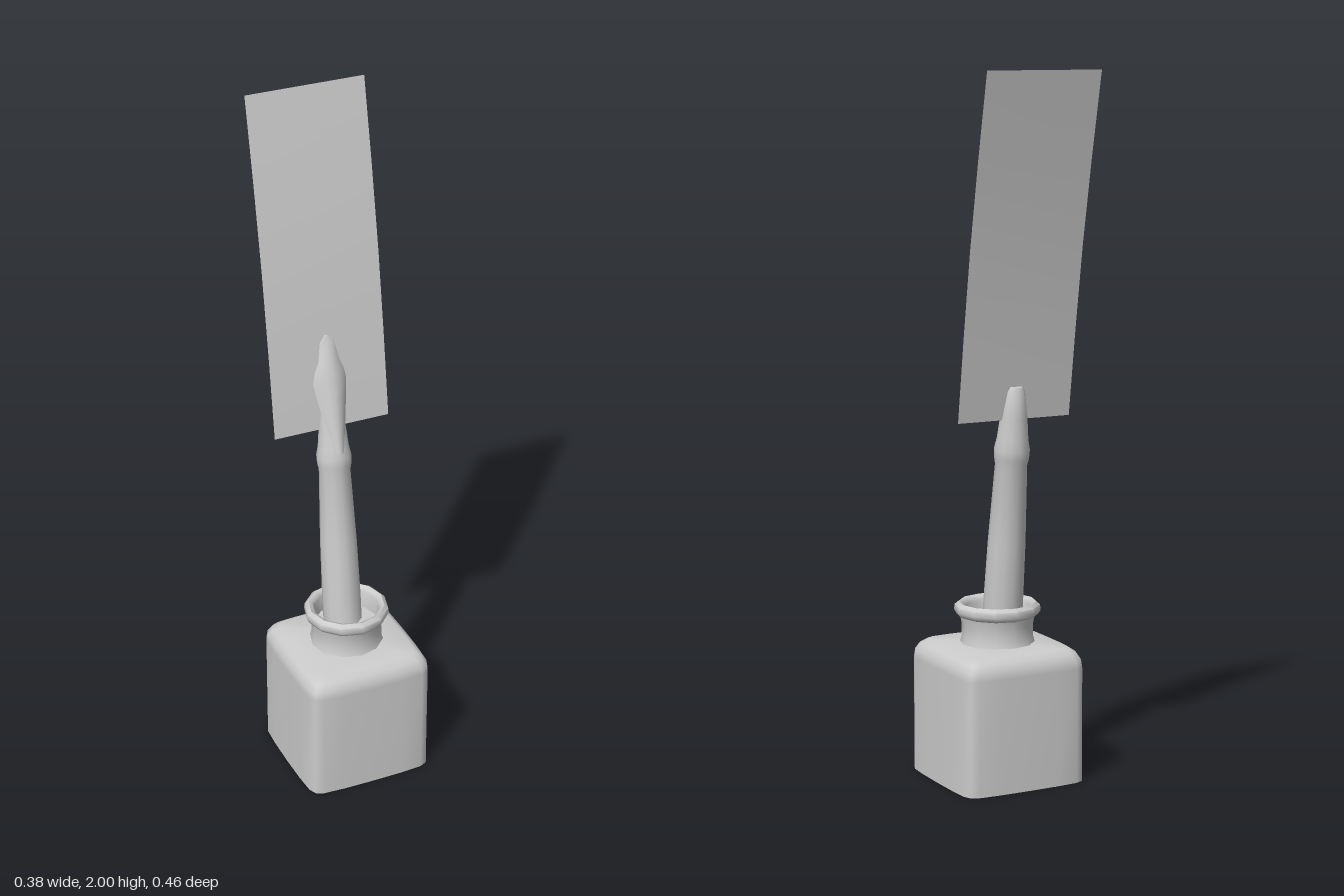
import * as THREE from 'three';
import { toCreasedNormals } from 'three/addons/utils/BufferGeometryUtils.js';

// Skin between equal-length rows of points; closed rows wrap around
function loft(rows, closed) {
  const n = rows[0].length, index = [];
  for (let i = 0; i < rows.length - 1; i++) {
    for (let j = 0; j < (closed ? n : n - 1); j++) {
      const k = (j + 1) % n;
      const a = i * n + j, b = i * n + k, c = a + n, d = b + n;
      index.push(a, b, d, a, d, c);
    }
  }
  const g = new THREE.BufferGeometry();
  g.setAttribute('position', new THREE.Float32BufferAttribute(rows.flat(2), 3));
  g.setIndex(index);
  g.computeVertexNormals();
  return g;
}

const lathe = (pts, sides) =>
  toCreasedNormals(new THREE.LatheGeometry(pts.map(p => new THREE.Vector2(...p)), sides), 0.8);

export function createModel() {
  const model = new THREE.Group();
  const grey = new THREE.MeshStandardMaterial({ color: 0xcccccc, side: THREE.DoubleSide });
  grey.name = 'plain grey';
  const add = (name, geometry, parent = model) => {
    const mesh = new THREE.Mesh(geometry, grey);
    mesh.name = name;
    parent.add(mesh);
    return mesh;
  };

  // Ink bottle
  const bottle = new THREE.Group();
  bottle.name = 'inkBottle';
  bottle.position.z = 0.039;
  model.add(bottle);

  // Square outline with slightly bulging sides and rounded corners, counted from +z towards +x
  const side = [[0, 0.192], [0.09, 0.191], [0.155, 0.187], [0.177, 0.177], [0.187, 0.155], [0.191, 0.09]];
  const outline = [];
  for (let q = 0; q < 4; q++) {
    const c = Math.round(Math.cos(q * Math.PI / 2)), s = Math.round(Math.sin(q * Math.PI / 2));
    side.forEach(([x, z]) => outline.push([x * c + z * s, z * c - x * s]));
  }
  const ring = (y, scale) => outline.map(([x, z]) => [x * scale, y, z * scale]);
  const neckRing = outline.map(([x, z]) => {
    const l = Math.hypot(x, z);
    return [x / l * 0.1, 0.391, z / l * 0.1];
  });
  add('bottleBody', loft([ring(0, 1), ring(0.33, 1), ring(0.352, 0.985), ring(0.372, 0.925),
    ring(0.385, 0.83), neckRing], true), bottle);
  const base = new THREE.ShapeGeometry(new THREE.Shape(outline.map(([x, z]) => new THREE.Vector2(x, z))));
  base.rotateX(Math.PI / 2);
  add('bottleBase', base, bottle);

  // Neck, rolled lip and inner floor
  add('bottleNeck', lathe([[0.108, 0.385], [0.102, 0.405], [0.101, 0.44], [0.106, 0.466], [0.117, 0.471],
    [0.123, 0.482], [0.121, 0.497], [0.11, 0.506], [0.1, 0.502], [0.094, 0.49], [0.092, 0.44],
    [0, 0.44]], 12), bottle);

  // Pen holder leaning backwards, with a swollen collar and tapered end
  const holder = add('penHolder', lathe([[0, 0], [0.056, 0], [0.056, 0.08], [0.053, 0.25], [0.045, 0.475],
    [0.049, 0.495], [0.05, 0.52], [0.044, 0.55], [0.038, 0.61], [0.027, 0.685], [0.02, 0.698], [0, 0.698]], 12));
  holder.position.set(0, 0.44, 0.012);
  holder.rotation.x = -0.116;

  // Nib: curved blade; rows give height, half width, front z, edge z
  const nibRows = [
    [0.985, 0.010, 0.003, 0.000], [1.03, 0.022, -0.008, -0.022], [1.09, 0.036, -0.022, -0.047],
    [1.14, 0.045, -0.035, -0.065], [1.18, 0.050, -0.047, -0.075], [1.21, 0.044, -0.056, -0.078],
    [1.24, 0.032, -0.066, -0.081], [1.27, 0.026, -0.078, -0.088], [1.295, 0.021, -0.089, -0.094],
    [1.313, 0.006, -0.097, -0.098]];
  add('nib', loft(nibRows.map(([y, w, front, edge]) =>
    [-1, -0.75, -0.4, 0, 0.4, 0.75, 1].map(t => [t * w, y, front + (edge - front) * t * t])), false));

  // Thin sheet behind the nib, bending slightly backwards
  const sheetRows = [[1.04, -0.06], [1.28, -0.095], [1.52, -0.134], [1.76, -0.181], [2, -0.233]];
  add('sheet', loft(sheetRows.map(([y, z]) => [[-0.174, y, z], [0.174, y, z]]), false));

  return model;
}
